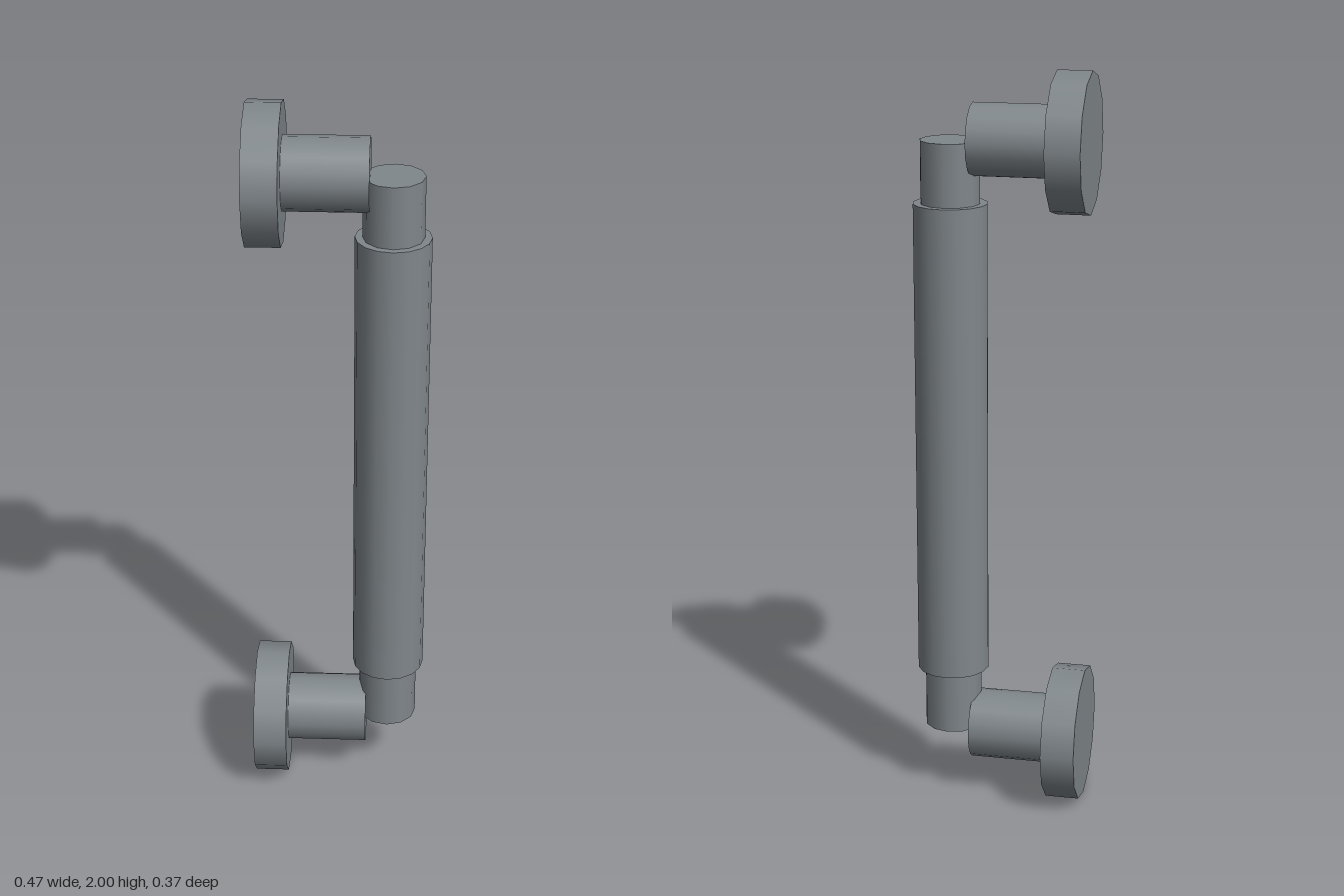
import * as THREE from 'three';

export function createModel() {
  const model = new THREE.Group();
  model.name = 'pullHandle';
  const metal = new THREE.MeshStandardMaterial({ color: 0x80878b });
  metal.name = 'brushed grey metal';

  function cylinder(name, radius, length, sides, parent) {
    const mesh = new THREE.Mesh(new THREE.CylinderGeometry(radius, radius, length, sides), metal);
    mesh.name = name;
    parent.add(mesh);
    return mesh;
  }

  // Upright bar: thin core with a thicker grip sleeve
  cylinder('barCore', 0.079, 1.63, 12, model).position.set(0.135, 1, 0);
  cylinder('gripSleeve', 0.098, 1.296, 16, model).position.set(0.135, 1.003, 0);

  // Wall mounts: faceted disc and round neck, lying along x
  for (const [name, y] of [['lowerMount', 0.184], ['upperMount', 1.816]]) {
    const mount = new THREE.Group();
    mount.name = name;
    mount.position.y = y;
    model.add(mount);

    const disc = cylinder('wallDisc', 0.184, 0.091, 12, mount);
    disc.rotation.z = Math.PI / 2;
    disc.position.x = -0.1885;

    const neck = cylinder('neck', 0.095, 0.218, 16, mount);
    neck.rotation.z = Math.PI / 2;
    neck.position.set(-0.034, 0.002, 0);
  }
  return model;
}
